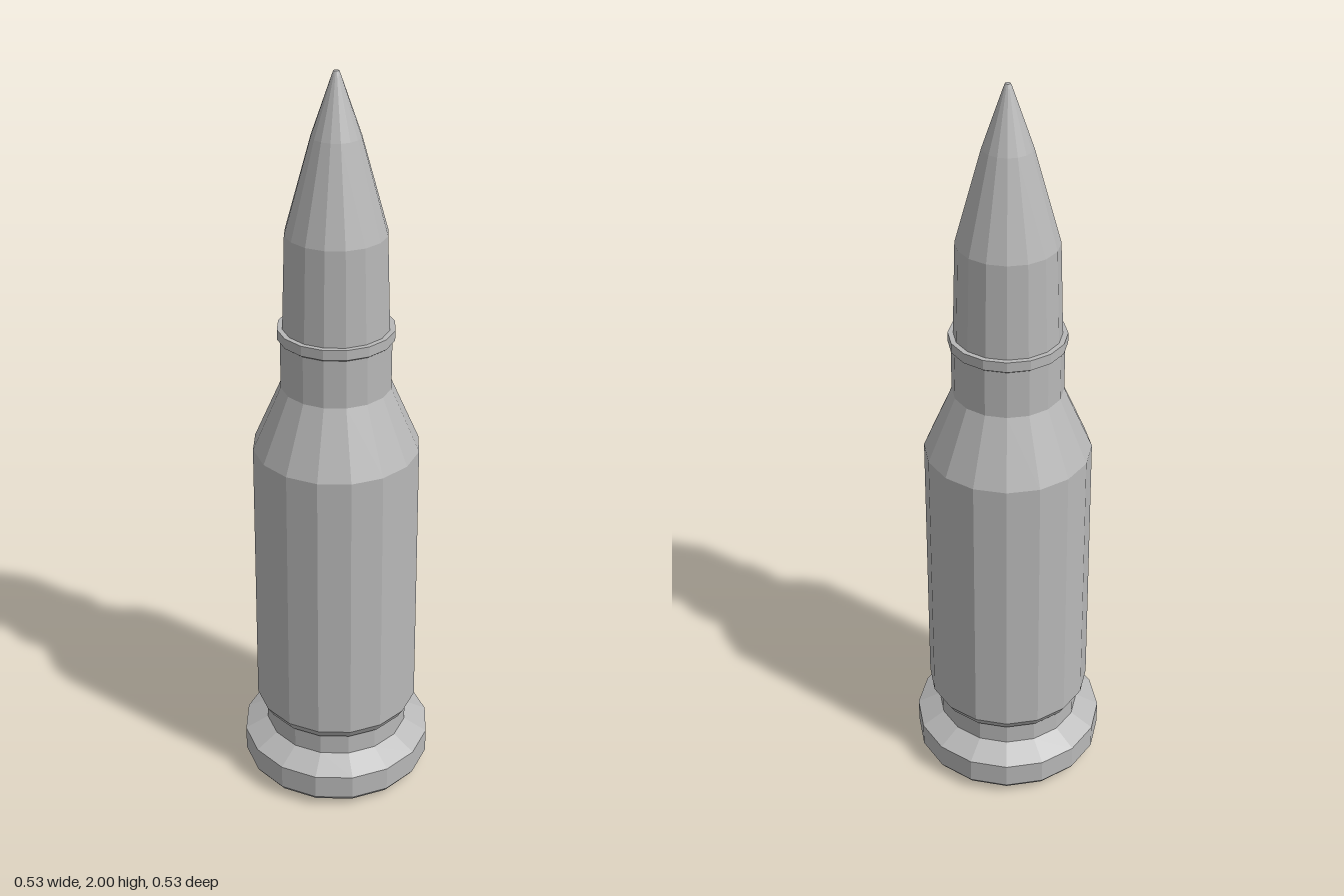
import * as THREE from 'three';

const SIDES = 16;

export function createModel() {
  const model = new THREE.Group();
  model.name = 'cartridge';
  const metal = new THREE.MeshStandardMaterial({ color: 0xb8b8b8, flatShading: true });
  metal.name = 'grey metal';

  // Faceted solid of revolution; profile runs from bottom to top as [radius, height]
  const turned = (name, profile) => {
    const points = profile.map(([r, y]) => new THREE.Vector2(r, y));
    const mesh = new THREE.Mesh(new THREE.LatheGeometry(points, SIDES), metal);
    mesh.name = name;
    model.add(mesh);
  };

  // Base rim with extraction groove above it
  turned('rim', [
    [0, 0.022], [0.255, 0.022], [0.264, 0.035], [0.264, 0.105], [0.2, 0.14],
  ]);
  turned('groove', [[0.2, 0.14], [0.2, 0.21]]);

  // Body, shoulder, neck and lip
  turned('case', [
    [0.2, 0.208], [0.21, 0.208], [0.226, 0.235], [0.22, 1.02],
    [0.144, 1.195], [0.144, 1.325], [0.151, 1.33], [0.151, 1.357], [0.13, 1.357],
  ]);

  // Pointed tip with a tiny flat end
  turned('tip', [
    [0.138, 1.345], [0.129, 1.605], [0.062, 1.845], [0.011, 1.99], [0.007, 2], [0, 2],
  ]);

  // Raised ring and cap in the middle of the base
  turned('baseRing', [[0, 0.014], [0.108, 0.014], [0.114, 0.024]]);
  turned('baseCap', [[0, 0.004], [0.07, 0.004], [0.076, 0], [0.08, 0], [0.087, 0.016]]);

  // Small radial tick marks around the base
  const tick = new THREE.BoxGeometry(0.045, 0.006, 0.01);
  for (const step of [1, 3, 4, 5, 6, 7]) {
    const angle = step * Math.PI / 4;
    const mark = new THREE.Mesh(tick, metal);
    mark.name = 'baseTick';
    mark.position.set(0.19 * Math.cos(angle), 0.021, 0.19 * Math.sin(angle));
    mark.rotation.y = -angle;
    model.add(mark);
  }
  return model;
}
